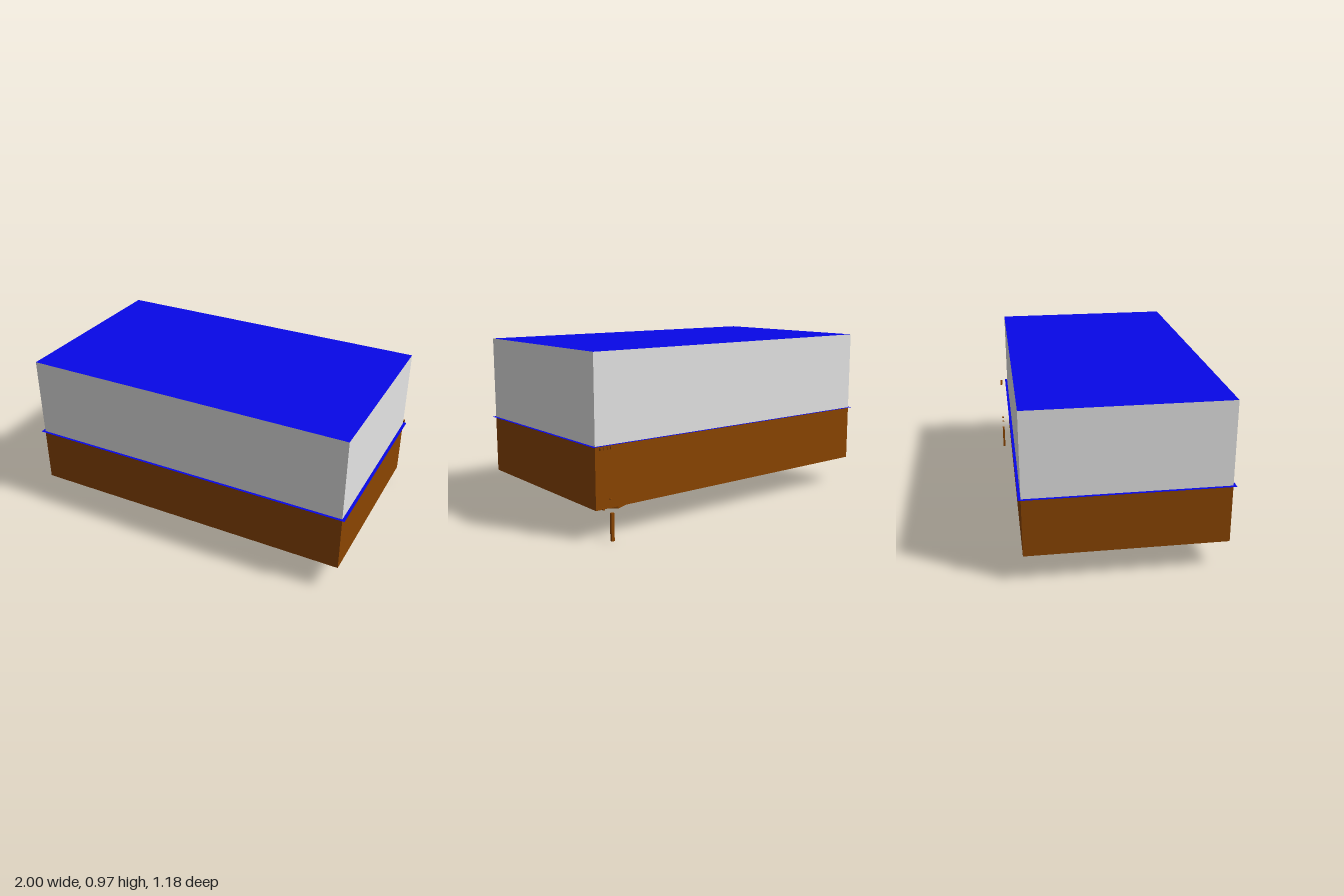
import * as THREE from 'three';

const mat = (name, color, side = THREE.FrontSide) => {
  const m = new THREE.MeshStandardMaterial({ color, side });
  m.name = name;
  return m;
};

export function createModel() {
  const brown = mat('earth brown', 0x8b4500);
  const grey = mat('light grey', 0xe5e5e5);
  const blue = mat('water blue', 0x0808ea, THREE.DoubleSide);
  const green = mat('grass green', 0x408b2e);
  const paleGreen = mat('pale green', 0x5a8a50);

  const model = new THREE.Group();
  const add = (name, geometry, material, x = 0, y = 0, z = 0) => {
    const mesh = new THREE.Mesh(geometry, material);
    mesh.name = name;
    mesh.position.set(x, y, z);
    model.add(mesh);
    return mesh;
  };

  // Outline points are [x, z]; slabs hang down from their top height
  const path = (pts, Type = THREE.Shape) => new Type(pts.map(([x, z]) => new THREE.Vector2(x, z)));
  const rect = (x0, x1, z0, z1) => [[x0, z0], [x1, z0], [x1, z1], [x0, z1]];
  const slab = (shape, depth) =>
    new THREE.ExtrudeGeometry(shape, { depth, bevelEnabled: false }).rotateX(Math.PI / 2);

  const W = 1.962, D = 1.118, ZC = 0.0175;
  const BOTTOM = 0.162, RECESS = 0.225, WATER = 0.496, TOP = 0.974;
  const block = (y0, y1) => new THREE.BoxGeometry(W, y1 - y0, D).translate(0, (y0 + y1) / 2, ZC);

  // Upper block with its blue lid, and the earth block whose underside closes the recesses
  add('upperBlock', block(WATER, TOP), [grey, grey, blue, grey, grey, grey]);
  add('earthBlock', block(RECESS, WATER), [brown, brown, brown, green, brown, brown]);

  // Thin water sheet standing out all round
  add('waterSheet', new THREE.PlaneGeometry(1.998, 1.149).rotateX(-Math.PI / 2), blue, 0, WATER, ZC);

  // Ground slab with sunken recesses: green faces, brown walls
  const ground = path(rect(-W / 2, W / 2, ZC - D / 2, ZC + D / 2));
  const recesses = [
    rect(0.17, 0.37, -0.335, -0.065),
    rect(0.48, 0.58, 0.02, 0.13),
    [[-0.21, -0.25], [-0.215, -0.375], [-0.775, -0.21], [-0.785, -0.08]],
  ];
  recesses.forEach((r) => ground.holes.push(path(r, THREE.Path)));
  add('ground', slab(ground, RECESS - BOTTOM), [green, brown], 0, RECESS, 0);

  // Raised many-sided plateaus on the underside
  const plateaus = {
    largePlateau: [[0.066, 0.27], [0.066, 0.07], [-0.1, -0.135], [-0.38, -0.065],
      [-0.6, 0.05], [-0.68, 0.3], [-0.44, 0.375]],
    smallPlateau: [[0.845, -0.305], [0.88, -0.405], [0.8, -0.475], [0.73, -0.445],
      [0.643, -0.3], [0.7, -0.24]],
  };
  for (const [name, pts] of Object.entries(plateaus)) {
    add(name, slab(path(pts), 0.036), brown, 0, BOTTOM, 0);
  }

  // Flat pale patches just under the ground, facing down
  const patches = [
    [0.2, 0.63, -0.46, -0.37],
    [0.12, 0.31, 0.06, 0.19],
    [-0.27, 0.05, 0.39, 0.5],
    [-0.79, -0.63, -0.5, -0.36],
  ];
  patches.forEach((p) => add('groundPatch',
    new THREE.ShapeGeometry(path(rect(...p))).rotateX(Math.PI / 2), paleGreen, 0, BOTTOM - 0.001, 0));

  // Slim post and small loose chips beside the back corner
  const BACK = -0.585;
  add('post', new THREE.BoxGeometry(0.018, 0.15, 0.014), brown, 0.912, 0.075, BACK);
  const chips = [[0.92, 0.225, 0.006], [0.965, 0.178, 0.006], [0.976, 0.49, 0.014]];
  chips.forEach(([x, y, h]) => add('chip', new THREE.BoxGeometry(0.009, h, 0.014), brown, x, y, BACK));

  // Three-sided chips in a row near the water level
  const wedge = path([[-0.008, -0.007], [0.008, -0.007], [0.004, 0.007]]);
  for (const x of [0.91, 0.93, 0.95]) add('wedgeChip', slab(wedge, 0.014), brown, x, 0.497, BACK);

  return model;
}
